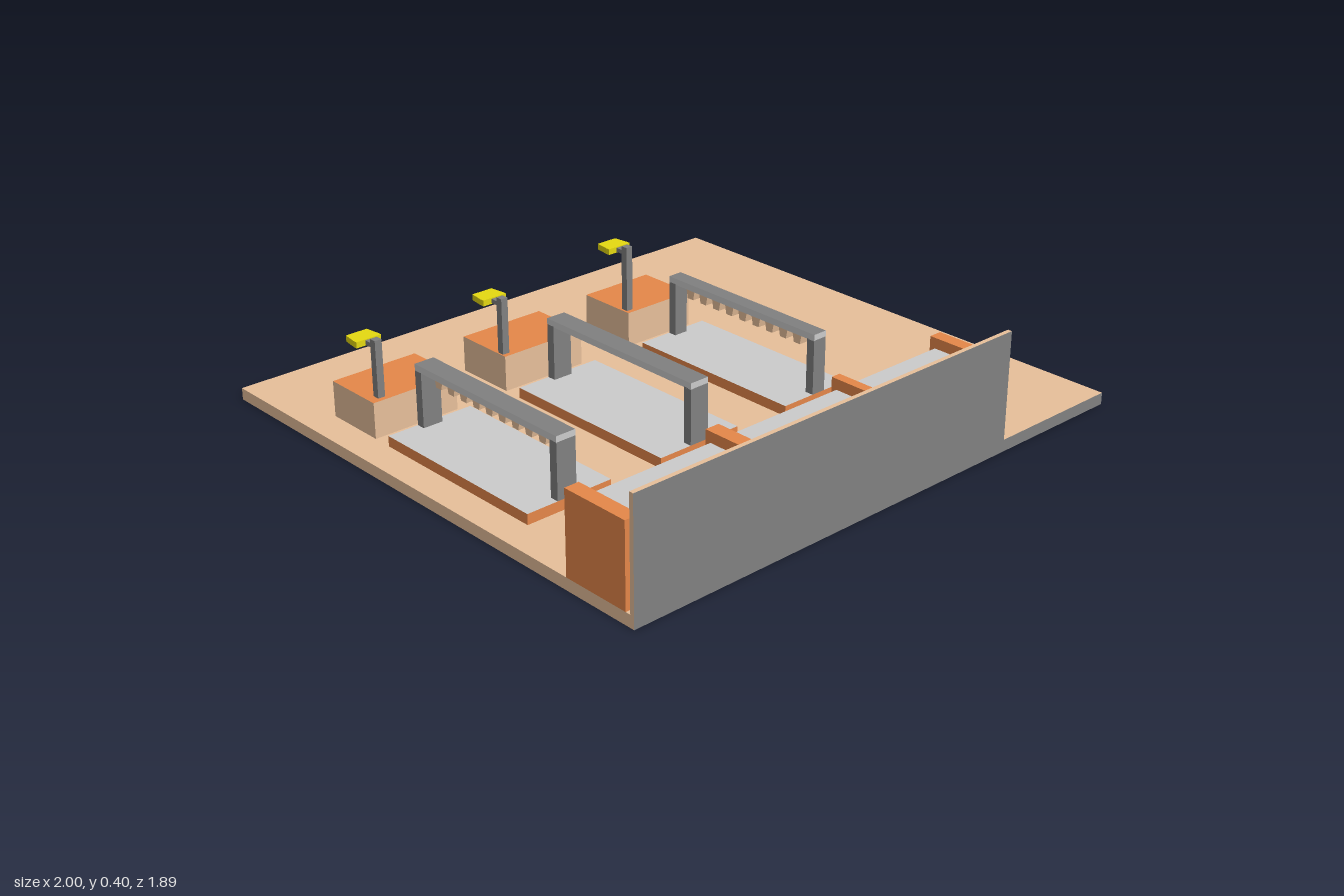
import * as THREE from 'three';

const mat = (color) => new THREE.MeshStandardMaterial({ color, side: THREE.DoubleSide });
const tan = mat(0xe7bf9a), orange = mat(0xe58749), grey = mat(0xcccccc), dark = mat(0x808080);
const yellow = mat(0xe5d911), blue = mat(0x1464d2), red = mat(0xd22828), green = mat(0x10b866);

// Box given by its limits on each axis
function box(parent, name, material, [x0, x1], [y0, y1], [z0, z1]) {
  const mesh = new THREE.Mesh(new THREE.BoxGeometry(x1 - x0, y1 - y0, z1 - z0), material);
  mesh.position.set((x0 + x1) / 2, (y0 + y1) / 2, (z0 + z1) / 2);
  mesh.name = name;
  parent.add(mesh);
  return mesh;
}

// Flat outline pushed out to a depth
function extrude(points, depth) {
  const shape = new THREE.Shape(points.map(([x, y]) => new THREE.Vector2(x, y)));
  return new THREE.ExtrudeGeometry(shape, { depth, bevelEnabled: false });
}

// Material list for a box: sides, top, and edge facing -z
const faces = (side, top, back = side) => [side, side, top, side, side, back];

function group(parent, name) {
  const g = new THREE.Group();
  g.name = name;
  parent.add(g);
  return g;
}

// Table with an arch running lengthwise above it
function addTable(parent, [x0, x1], [b0, b1], hasTeeth) {
  const g = group(parent, 'table');
  box(g, 'tableTop', faces(orange, grey), [x0, x1], [0.04, 0.075], [-0.285, 0.38]);
  for (const z of [-0.285, 0.35]) box(g, 'archPost', dark, [b0, b1], [0.075, 0.26], [z, z + 0.03]);
  box(g, 'archBeam', faces(grey, dark), [b0, b1], [0.258, 0.28], [-0.285, 0.38]);
  if (!hasTeeth) return;
  // Tapered pieces hanging from the beam
  const geometry = extrude([[-0.02, 0], [0.02, 0], [0.013, -0.035], [-0.013, -0.035]], 0.04);
  for (let i = 0; i < 9; i++) {
    const tooth = new THREE.Mesh(geometry, tan);
    tooth.name = 'hangingPiece';
    tooth.rotation.y = Math.PI / 2;
    tooth.position.set((b0 + b1) / 2 - 0.02, 0.26, 0.3 - i * 0.061);
    g.add(tooth);
  }
}

// Cabinet carrying a post with a lamp head
function addCabinet(parent, [x0, x1], lampX, lampY) {
  const g = group(parent, 'cabinet');
  box(g, 'cabinetBody', faces(tan, orange), [x0, x1], [0.04, 0.16], [-0.57, -0.353]);
  const w = 0.0125;
  box(g, 'lampPost', dark, [lampX - w, lampX + w], [0.16, lampY + 0.02], [-0.395, -0.37]);
  box(g, 'lampArm', dark, [lampX - w, lampX + w], [lampY - 0.007, lampY + 0.007], [-0.425, -0.39]);
  const head = new THREE.Mesh(
    extrude([[-0.045, -0.42], [-0.045, -0.435], [-0.038, -0.485], [0.038, -0.485], [0.045, -0.435], [0.045, -0.42]], 0.02), yellow);
  head.name = 'lampHead';
  head.rotation.x = Math.PI / 2;
  head.position.set(lampX, lampY + 0.01, 0);
  g.add(head);
}

export function createModel() {
  const model = new THREE.Group();
  model.name = 'room';

  // Floor and front wall, which steps down to floor level
  box(model, 'floor', tan, [-1, 1], [0, 0.04], [-0.945, 0.93]);
  const wall = new THREE.Mesh(
    extrude([[-1, 0], [1, 0], [1, 0.04], [0.505, 0.04], [0.505, 0.4], [-1, 0.4]], 0.015), [dark, tan]);
  wall.name = 'frontWall';
  wall.position.z = 0.93;
  model.add(wall);

  // Shelf unit: back panel, uprights and three bays of shelves
  const unit = group(model, 'shelfUnit');
  box(unit, 'shelfBack', orange, [-1, 0.505], [0.04, 0.31], [0.875, 0.912]);
  const uprights = [[-1, -0.95], [-0.49, -0.44], [0.02, 0.053], [0.46, 0.505]];
  for (const x of uprights) box(unit, 'shelfUpright', orange, x, [0.04, 0.31], [0.673, 0.875]);
  [blue, red, green].forEach((color, i) => {
    const span = [uprights[i][1], uprights[i + 1][0]];
    for (const y of [0.1, 0.18, 0.26])
      box(unit, 'shelf', faces(grey, grey, color), span, [y - 0.015, y + 0.015], [0.693, 0.875]);
  });

  // Three work places side by side
  const places = [
    { x: [-0.895, -0.585], beam: [-0.785, -0.715], lampX: -0.853, lampY: 0.33, teeth: true },
    { x: [-0.39, -0.075], beam: [-0.27, -0.2], lampX: -0.372, lampY: 0.33, teeth: false },
    { x: [0.133, 0.407], beam: [0.255, 0.307], lampX: 0.154, lampY: 0.365, teeth: true },
  ];
  for (const p of places) {
    addTable(model, p.x, p.beam, p.teeth);
    addCabinet(model, p.x, p.lampX, p.lampY);
  }
  return model;
}
